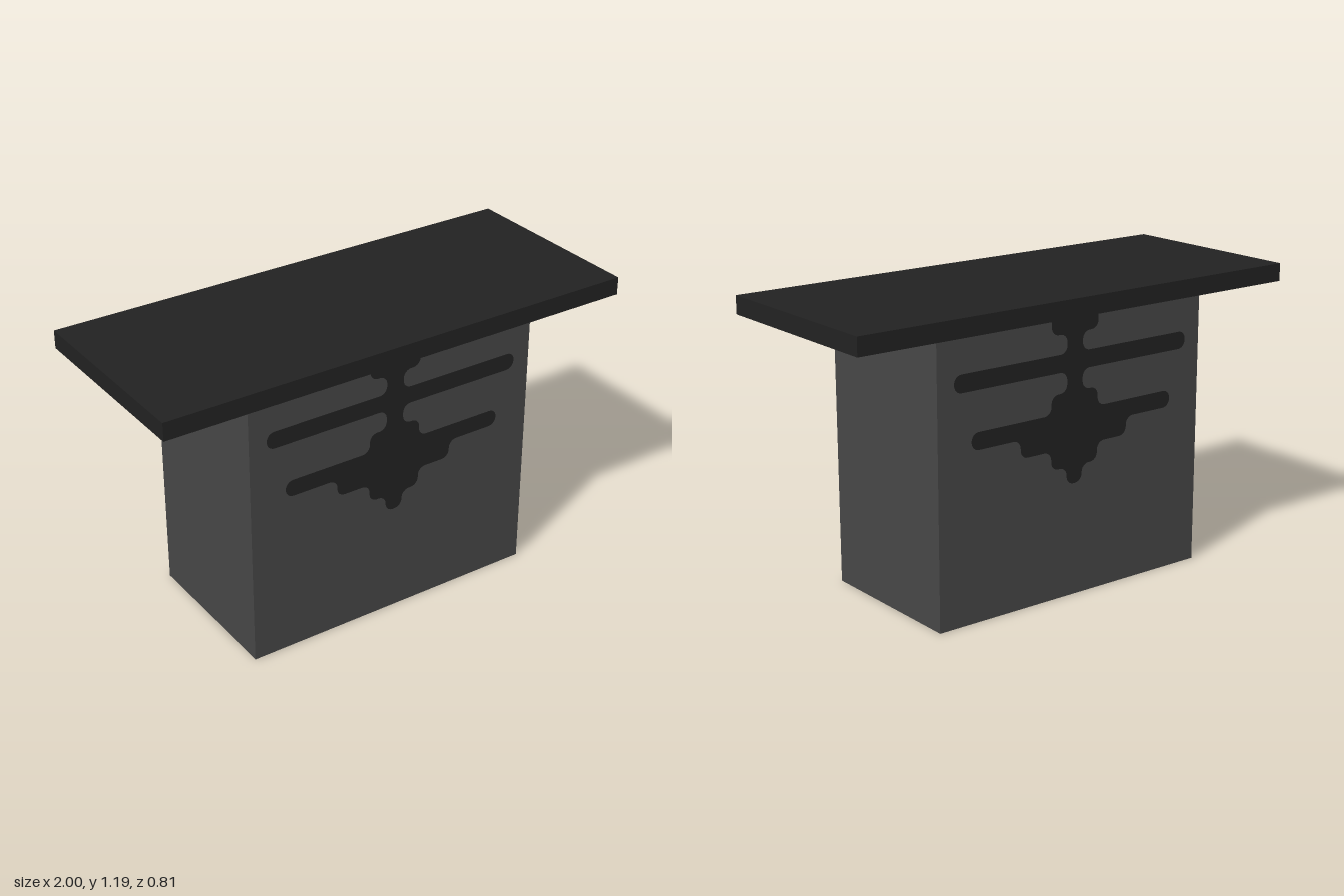
import * as THREE from 'three';

const charcoal = new THREE.MeshStandardMaterial({ name: 'charcoal', color: 0x222222 });
const grey = new THREE.MeshStandardMaterial({ name: 'grey', color: 0x474747 });

const BODY = { w: 1.258, h: 1.115, d: 0.666 };

function box(name, w, h, d, y, material) {
  const mesh = new THREE.Mesh(new THREE.BoxGeometry(w, h, d), material);
  mesh.name = name;
  mesh.position.y = y + h / 2;
  return mesh;
}

// Closed outline whose corners are rounded, except those at the sharp height
function roundedShape(points, radius, sharpY) {
  const shape = new THREE.Shape();
  const n = points.length;
  points.forEach((p, i) => {
    if (p.y === sharpY) {
      i ? shape.lineTo(p.x, p.y) : shape.moveTo(p.x, p.y);
      return;
    }
    const towards = (q, length) => p.clone().add(q.clone().sub(p).setLength(length));
    const prev = points[(i + n - 1) % n], next = points[(i + 1) % n];
    const a = towards(prev, radius), b = towards(next, radius);
    const c = towards(prev, radius * 0.45), d = towards(next, radius * 0.45);
    shape.lineTo(a.x, a.y);
    shape.bezierCurveTo(c.x, c.y, d.x, d.y, b.x, b.y);
  });
  shape.closePath();
  return shape;
}

// Stepped ornament: right half from top to tip, mirrored to the other side
function ornamentGeometry() {
  const half = [
    [0.112, BODY.h], [0.112, 1.04], [0.037, 1.04], [0.037, 0.964],
    [0.556, 0.964], [0.556, 0.895], [0.037, 0.895], [0.037, 0.814],
    [0.112, 0.814], [0.112, 0.738], [0.481, 0.738], [0.481, 0.67],
    [0.257, 0.67], [0.257, 0.597], [0.112, 0.597], [0.112, 0.522],
    [0.037, 0.522], [0.037, 0.452],
  ].map(([x, y]) => new THREE.Vector2(x, y));
  const mirrored = half.map(p => new THREE.Vector2(-p.x, p.y)).reverse();
  const outline = [...half, ...mirrored].reverse();
  return new THREE.ShapeGeometry(roundedShape(outline, 0.033, BODY.h), 6);
}

export function createModel() {
  const model = new THREE.Group();
  model.name = 'pedestalTable';
  model.add(box('body', BODY.w, BODY.h, BODY.d, 0, grey));
  model.add(box('topSlab', 2, 0.072, 0.81, BODY.h, charcoal));

  // Ornament on the front and back faces
  const geometry = ornamentGeometry();
  for (const [name, side] of [['frontOrnament', 1], ['backOrnament', -1]]) {
    const ornament = new THREE.Mesh(geometry, charcoal);
    ornament.name = name;
    ornament.position.z = side * (BODY.d / 2 + 0.002);
    ornament.rotation.y = side > 0 ? 0 : Math.PI;
    model.add(ornament);
  }
  return model;
}
